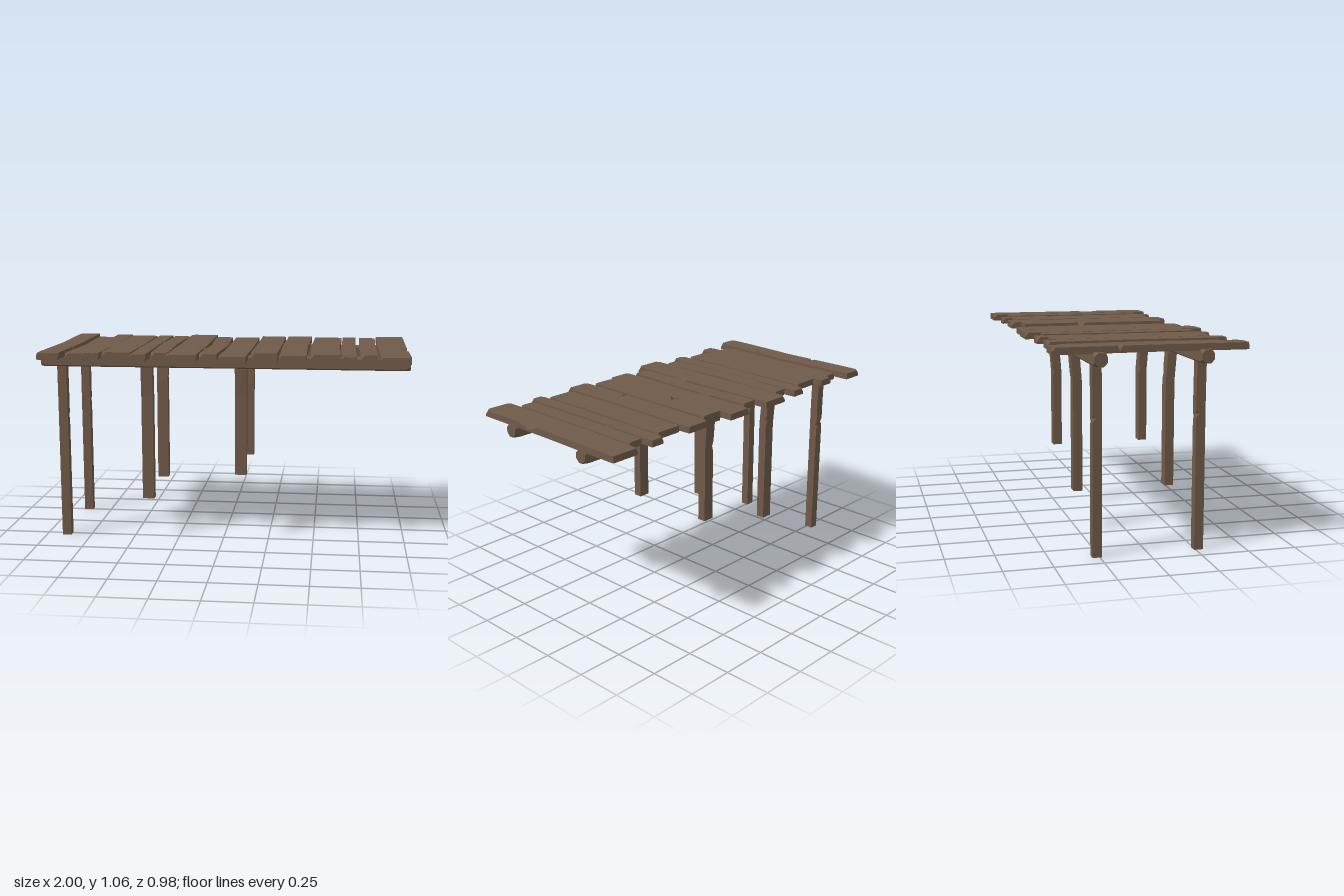
import * as THREE from 'three';

// Skin a list of equal-length closed sections running along +z, with capped ends.
function loft(sections) {
  const pos = [];
  const tri = (...pts) => pts.forEach((p) => pos.push(...p));
  const n = sections[0].length;
  for (let i = 0; i + 1 < sections.length; i++) {
    const s = sections[i], t = sections[i + 1];
    for (let j = 0; j < n; j++) {
      const k = (j + 1) % n;
      tri(s[j], s[k], t[k]);
      tri(s[j], t[k], t[j]);
    }
  }
  const first = sections[0], last = sections[sections.length - 1];
  for (let j = 1; j + 1 < n; j++) {
    tri(first[0], first[j + 1], first[j]);
    tri(last[0], last[j], last[j + 1]);
  }
  const g = new THREE.BufferGeometry();
  g.setAttribute('position', new THREE.Float32BufferAttribute(pos, 3));
  g.computeVertexNormals();
  return g;
}

// Rough timber along z. Chips are [side, z, depth, reach] bites out of the upper edges.
function timber(w, h, z0, z1, offset, chips, bends) {
  const stations = new Set([z0, z1, ...bends]);
  for (const [, z, , reach] of chips) {
    for (const s of [z - reach, z, z + reach]) if (s > z0 && s < z1) stations.add(s);
  }
  const bite = (side, z) => {
    let f = 0;
    for (const [s, c, d, reach] of chips) {
      if (s === side) f = Math.max(f, d * (1 - Math.abs(z - c) / reach));
    }
    return f;
  };
  const drop = (d) => Math.min(h * 0.8, d * 1.2);
  return loft([...stations].sort((a, b) => a - b).map((z) => {
    const [x, y] = offset(z), l = bite(-1, z), r = bite(1, z), q = w / 2;
    return [
      [x - q, y, z], [x + q, y, z],
      [x + q, y + h - drop(r), z], [x + q - r, y + h, z],
      [x - q + l, y + h, z], [x - q, y + h - drop(l), z],
    ];
  }));
}

// Beam with trimmed corners that are cut more heavily at both ends.
function beamGeometry() {
  const w = 0.0325, h = 0.034;
  return loft([[-1, 0.02], [-0.97, 0.007], [0.97, 0.007], [1, 0.02]].map(([z, c]) => [
    [-w + c, -h, z], [w - c, -h, z], [w, -h + c, z], [w, h - c, z],
    [w - c, h, z], [-w + c, h, z], [-w, h - c, z], [-w, -h + c, z],
  ])).rotateY(Math.PI / 2);
}

// Half lengths and bottom heights shared by the planks
const LONG = 0.492, MEDIUM = 0.467, SHORT = 0.413;
const HIGH = 1.02, LOW = 1.01;

// Planks: centre x, width, half length, bottom, sideways bow of the middle
const PLANKS = [
  [-0.91, 0.115, LONG, HIGH, 0.012], [-0.787, 0.097, SHORT, LOW, 0.014],
  [-0.685, 0.088, MEDIUM, HIGH, 0.01], [-0.556, 0.157, SHORT, HIGH, 0.003],
  [-0.43, 0.08, MEDIUM, 1.016, -0.005], [-0.325, 0.088, SHORT, HIGH, -0.01],
  [-0.196, 0.157, LONG, HIGH, 0.005], [-0.064, 0.094, SHORT, 1.016, 0.017],
  [0.069, 0.141, MEDIUM, LOW, 0.006], [0.233, 0.138, SHORT, 1.006, 0.002],
  [0.386, 0.14, MEDIUM, HIGH, -0.007], [0.553, 0.157, SHORT, HIGH, -0.007],
  [0.677, 0.077, MEDIUM, 1.017, -0.004], [0.781, 0.09, SHORT, HIGH, -0.004],
  [0.916, 0.157, LONG, HIGH, -0.004],
];

// Chips along the plank edges, by plank number: side, z, depth, reach
const CHIPS = {
  1: [[-1, -0.165, 0.045, 0.016], [1, 0.18, 0.035, 0.018]],
  4: [[1, 0.14, 0.04, 0.03]],
  5: [[1, -0.155, 0.035, 0.033]],
  7: [[1, 0.14, 0.055, 0.05]],
  8: [[1, -0.145, 0.035, 0.033]],
  10: [[-1, -0.1, 0.045, 0.038]],
  11: [[1, -0.155, 0.04, 0.028], [-1, 0.14, 0.035, 0.018]],
  12: [[1, 0.135, 0.035, 0.025]],
  13: [[1, -0.165, 0.035, 0.028]],
  15: [[1, 0.14, 0.06, 0.068]],
};

// Posts: x, width, foot y, z shift of the lower part, nicks
const POSTS = [
  [-0.887, 0.05, 0, 0.002, [[-1, 0.7, 0.015, 0.02], [1, 0.68, 0.01, 0.02]]],
  [-0.418, 0.064, 0.222, 0.012, [[1, 0.83, 0.01, 0.03]]],
  [0.097, 0.064, 0.37, 0.012, [[-1, 0.8, 0.008, 0.03]]],
];

export function createModel() {
  const model = new THREE.Group();
  const wood = new THREE.MeshStandardMaterial({ color: 0x705a49, flatShading: true });
  wood.name = 'weathered brown wood';
  const add = (name, geometry) => {
    const mesh = new THREE.Mesh(geometry, wood);
    mesh.name = name;
    model.add(mesh);
    return mesh;
  };

  // Deck planks, gently bowed and slightly skewed, with worn end corners
  PLANKS.forEach(([x, w, half, bottom, bend], i) => {
    const z0 = -half - 0.004, z1 = half - 0.004;
    const s = i % 2 ? 1 : -1;
    const worn = [[s, z0, 0.018, 0.02], [-s, z1, 0.022, 0.024], [s, z1, 0.012, 0.02]];
    const thickness = bottom < LOW ? 0.053 : 0.035;
    const bow = (z) => {
      const t = Math.min(1, Math.abs(z) / (half * 0.76));
      return [x + bend * (1 - t) - Math.sign(z) * t * 0.003, bottom];
    };
    const chips = [...(CHIPS[i + 1] ?? []), ...worn];
    add('plank' + (i + 1), timber(w, thickness, z0, z1, bow, chips, [-half * 0.76, 0, half * 0.76]));
  });

  // Two long beams and the posts below them
  const depth = 0.048;
  for (const side of [1, -1]) {
    const where = side > 0 ? 'front' : 'back';
    add(where + 'Beam', beamGeometry()).position.set(0, 0.994, side * 0.267);
    POSTS.forEach(([x, w, foot, shift, nicks], i) => {
      // Local y turns into -z once the post is stood upright
      const lean = (y) => {
        const t = THREE.MathUtils.clamp((0.95 - y) / 0.15, 0, 1);
        return [x, -side * (0.266 - shift * t) - depth / 2];
      };
      const post = timber(w, depth, foot, 0.975, lean, nicks, [0.8, 0.95]);
      add(where + 'Post' + (i + 1), post.rotateX(-Math.PI / 2));
    });
  }
  return model;
}
